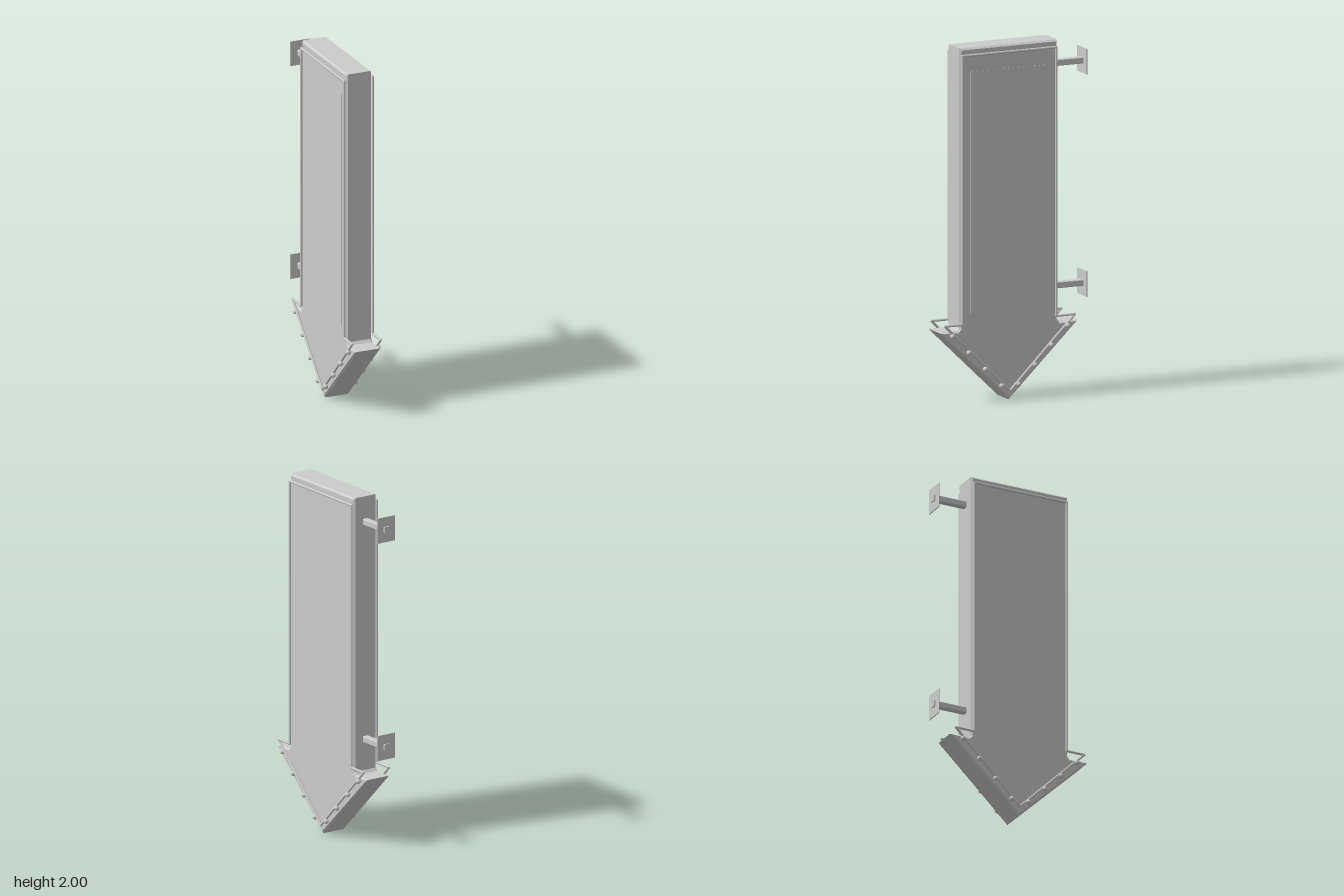
import * as THREE from 'three';

export function createModel() {
  const group = new THREE.Group();
  const grey = new THREE.MeshStandardMaterial({ color: 0xcccccc });
  grey.name = 'light grey';

  const add = (name, geometry, x = 0, y = 0, z = 0) => {
    const mesh = new THREE.Mesh(geometry, grey);
    mesh.name = name;
    mesh.position.set(x, y, z);
    group.add(mesh);
    return mesh;
  };

  // Side profile (z, y) extruded across x with chamfered edges
  const extrudeSide = (points, width, bevel) => {
    const shape = new THREE.Shape(points.map(([z, y]) => new THREE.Vector2(z, y)));
    const geometry = new THREE.ExtrudeGeometry(shape, {
      depth: width - 2 * bevel, bevelEnabled: true, bevelThickness: bevel,
      bevelSize: bevel, bevelOffset: -bevel, bevelSegments: 1,
    });
    return geometry.translate(0, 0, -width / 2 + bevel).rotateY(-Math.PI / 2);
  };

  // Sign cabinet: a tall box ending in a downward arrowhead
  const mid = 0.036;
  add('arrowCabinet', extrudeSide([
    [mid, 0.002], [-0.388, 0.412], [-0.275, 0.412], [-0.26, 0.427], [-0.26, 2],
    [0.337, 2], [0.337, 0.427], [0.35, 0.412], [0.461, 0.412],
  ], 0.154, 0.01));

  // Tube outline, as a closed loop of (z, y) corners
  const outline = [
    [0.326, 1.96], [0.326, 0.45], [0.433, 0.45], [mid, 0.053],
    [-0.361, 0.45], [-0.247, 0.45], [-0.247, 1.96],
  ];
  const tubeRadius = 0.007;
  const up = new THREE.Vector3(0, 1, 0);

  for (const side of [1, -1]) {
    // Face panel
    add('facePanel', new THREE.BoxGeometry(0.004, 1.36, 0.475), side * 0.077, 1.185, 0.0375);

    // Light tubes with round corners
    outline.forEach(([z, y], i) => {
      const [z2, y2] = outline[(i + 1) % outline.length];
      const a = new THREE.Vector3(side * 0.0865, y, z);
      const b = new THREE.Vector3(side * 0.0865, y2, z2);
      const tube = add('lightTube', new THREE.CylinderGeometry(tubeRadius, tubeRadius, a.distanceTo(b), 10, 1, true));
      tube.position.lerpVectors(a, b, 0.5);
      tube.quaternion.setFromUnitVectors(up, b.clone().sub(a).normalize());
      add('tubeCorner', new THREE.SphereGeometry(tubeRadius, 10, 8), a.x, a.y, a.z);
    });

    // Bulbs along both arrowhead edges
    for (let i = 0; i < 4; i++) {
      for (const edge of [1, -1]) {
        add('bulb', new THREE.SphereGeometry(0.0145, 16, 12),
          side * 0.09, 0.087 + i * 0.101, mid + edge * (0.051 + i * 0.1005));
      }
    }
  }

  // Wall brackets at the back: chamfered arm through a mounting plate
  for (const y of [1.855, 0.605]) {
    const arm = extrudeSide([
      [-0.461, y - 0.018], [-0.461, y + 0.018], [-0.25, y + 0.018], [-0.25, y - 0.018],
    ].reverse(), 0.036, 0.004);
    add('bracketArm', arm);
    add('bracketPlate', new THREE.BoxGeometry(0.12, 0.144, 0.006), 0, y, -0.45);
  }

  return group;
}
